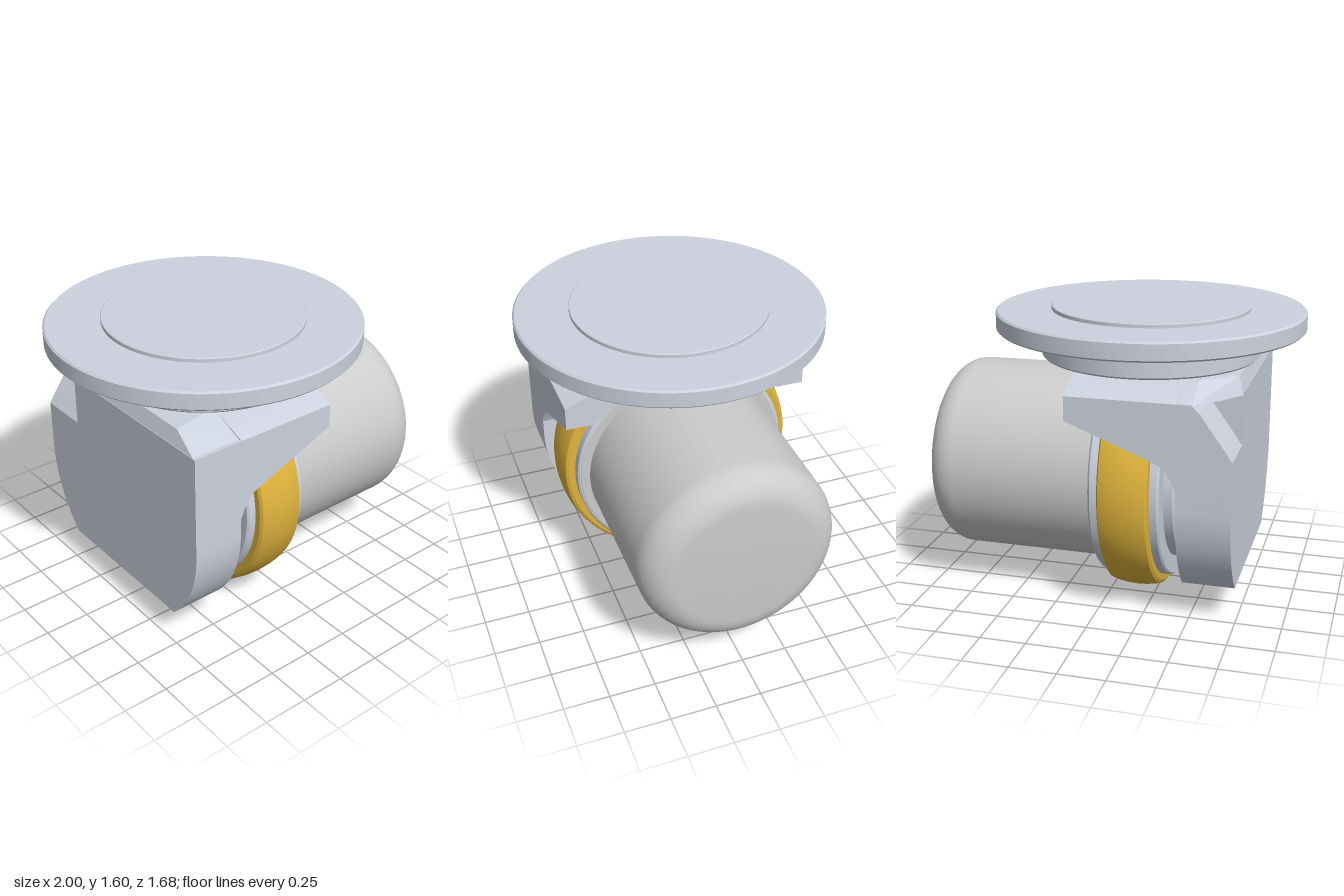
import * as THREE from 'three';
import { ConvexGeometry } from 'three/addons/geometries/ConvexGeometry.js';
import { toCreasedNormals } from 'three/addons/utils/BufferGeometryUtils.js';

const metal = new THREE.MeshStandardMaterial({ color: 0xccd2de });
const grey = new THREE.MeshStandardMaterial({ color: 0xcccccc });
const yellow = new THREE.MeshStandardMaterial({ color: 0xe0b43c });
const AXLE_Y = 0.68;

export function createModel() {
  const model = new THREE.Group();
  const add = (name, geometry, material = metal) => {
    const mesh = new THREE.Mesh(geometry, material);
    mesh.name = name;
    model.add(mesh);
    return mesh;
  };
  const shapeOf = (pts) => new THREE.Shape(pts.map(([x, y]) => new THREE.Vector2(x, y)));
  const extrude = (shape, depth, steps = 1) =>
    new THREE.ExtrudeGeometry(shape, { depth, steps, bevelEnabled: false, curveSegments: 16 });
  // Revolved part; profile points are [radius, height], listed upward
  const lathe = (pts) => toCreasedNormals(
    new THREE.LatheGeometry(pts.map(([r, h]) => new THREE.Vector2(r, h)), 96), 0.5);
  // The same, turned so that height runs along x on the wheel axle
  const onAxle = (pts) => lathe(pts).rotateZ(-Math.PI / 2).scale(1, 1, 1).translate(0, AXLE_Y, 0);
  const disc = (r, a, b, e = 0.01) => [[0, a], [r - e, a], [r, a + e], [r, b - e], [r - e, b], [0, b]];

  // Swivel flange
  add('mountingFlange', lathe(disc(0.84, 1.475, 1.578))).position.x = -0.16;
  add('flangeTopDisc', lathe(disc(0.54, 1.57, 1.6, 0.004))).position.x = -0.16;
  add('swivelRing', lathe(disc(0.595, 1.325, 1.48))).position.x = -0.16;

  // Fork side plate: rounded lower corners, pocket in the upper back corner
  const plate = new THREE.Shape();
  const bottomAngle = Math.asin(0.49 / 0.68);
  plate.moveTo(-0.68, 1.24);
  plate.lineTo(-0.68, AXLE_Y);
  plate.absarc(0, AXLE_Y, 0.68, Math.PI, Math.PI + bottomAngle, false);
  plate.absarc(0, AXLE_Y, 0.68, -bottomAngle, 0, false);
  plate.lineTo(0.68, 0.96);
  plate.lineTo(0.39, 0.96);
  plate.lineTo(0.39, 1.24);
  add('forkPlate', toCreasedNormals(extrude(plate, 0.285).rotateY(Math.PI / 2), 0.5))
    .position.x = -0.74;

  // Sloping floor of the pocket
  const pocket = shapeOf([[-0.74, 0.96], [-0.455, 0.96], [-0.455, 1.24], [-0.53, 1.24],
    [-0.57, 1.2], [-0.7, 1.02]]);
  add('pocketFloor', extrude(pocket, 0.29)).position.z = -0.68;

  // Raised crown over the plate
  const crown = [];
  for (const s of [-1, 1]) {
    const back = s < 0;
    crown.push(
      new THREE.Vector3(back ? -0.53 : -0.74, 1.23, s * 0.68), new THREE.Vector3(-0.74, 1.23, s * 0.39),
      new THREE.Vector3(-0.42, 1.23, s * 0.68), new THREE.Vector3(back ? -0.53 : -0.71, 1.32, s * 0.5),
      new THREE.Vector3(-0.71, 1.32, s * 0.36), new THREE.Vector3(-0.42, 1.33, s * 0.45));
  }
  add('forkCrown', new ConvexGeometry(crown));

  // Two arms reaching over the wheel, underside rising outward with a fillet at the plate
  const underside = (x) => {
    const f = Math.max(0, (-0.36 - x) / 0.095);
    return 1.11 + 0.396 * (x - 0.13) - 0.1 * f * f;
  };
  for (const s of [-1, 1]) {
    const section = shapeOf([[0.68, 1.11], [0.68, 1.24], [0.45, 1.33], [0.2, 1.33], [0.53, 1.11]]
      .map(([z, y]) => [-s * z, y]));
    const arm = extrude(section, 0.585, 24).rotateY(Math.PI / 2).translate(-0.455, 0, 0);
    const p = arm.attributes.position;
    for (let i = 0; i < p.count; i++) {
      if (p.getY(i) < 1.12) p.setY(i, underside(p.getX(i)));
    }
    arm.computeVertexNormals();
    add(s > 0 ? 'frontArm' : 'backArm', toCreasedNormals(arm, 0.5));
  }

  // Wheel
  add('axle', onAxle(disc(0.3, -0.46, -0.4)));
  add('innerHub', onAxle(disc(0.5, -0.41, -0.34)));
  add('rim', onAxle(disc(0.61, -0.35, 0.03)));
  add('tyre', onAxle([[0.6, -0.3], [0.645, -0.3], [0.662, -0.29], [0.668, -0.27], [0.677, -0.22],
    [0.68, -0.165], [0.677, -0.11], [0.668, -0.06], [0.662, -0.04], [0.645, -0.03], [0.6, -0.03]]), yellow);
  add('rimFace', onAxle(disc(0.595, 0, 0.034, 0.004)), grey);

  // Drive motor housing with a rounded end
  const housing = [[0, 0.02], [0.542, 0.02], [0.54, 0.83]];
  for (let i = 1; i <= 10; i++) {
    const a = (i / 10) * Math.PI / 2;
    housing.push([0.37 + 0.17 * Math.cos(a), 0.83 + 0.165 * Math.sin(a)]);
  }
  housing.push([0, 1]);
  add('motorHousing', onAxle(housing), grey);

  return model;
}
